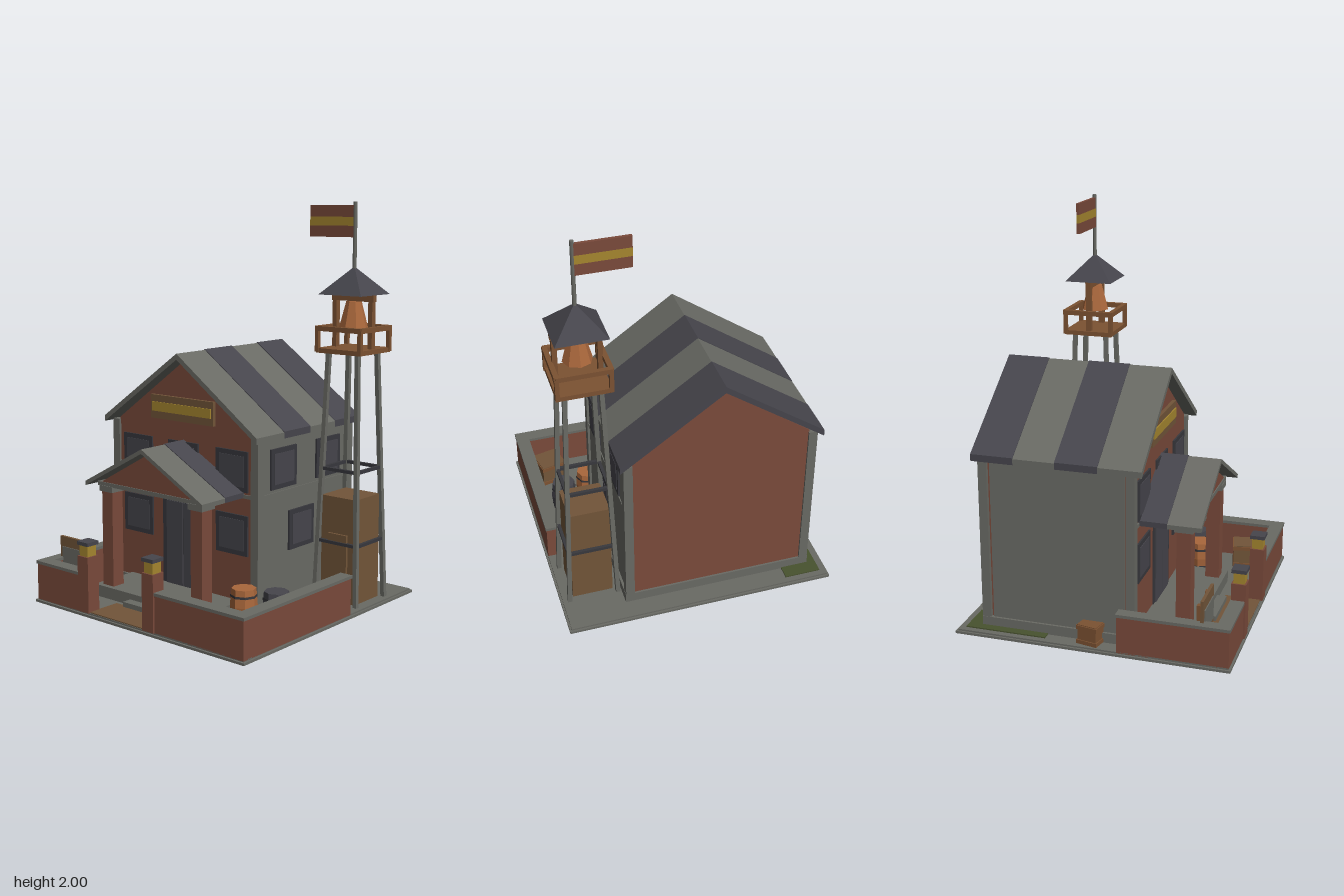
import * as THREE from 'three';

const mat = (name, color) => {
  const m = new THREE.MeshStandardMaterial({ color });
  m.name = name;
  return m;
};

export function createModel() {
  const brick = mat('brick', 0x7a4a3b), stone = mat('stone', 0x696a64), slate = mat('slate', 0x46454c);
  const frame = mat('darkFrame', 0x38383d), brown = mat('brown', 0x725539), wood = mat('wood', 0x7c5232);
  const orange = mat('copper', 0xa9673c), yellow = mat('yellow', 0xa5862f), green = mat('moss', 0x48522f);
  const model = new THREE.Group();
  model.name = 'stationHouse';

  const group = (name, x = 0, y = 0, z = 0, parent = model) => {
    const g = new THREE.Group();
    g.name = name;
    g.position.set(x, y, z);
    parent.add(g);
    return g;
  };
  const add = (name, geo, m, parent = model) => {
    const mesh = new THREE.Mesh(geo, m);
    mesh.name = name;
    parent.add(mesh);
    return mesh;
  };
  // Box given by its limits on each axis
  const box = (name, m, x0, x1, y0, y1, z0, z1, parent = model) => {
    const mesh = add(name, new THREE.BoxGeometry(x1 - x0, y1 - y0, z1 - z0), m, parent);
    mesh.position.set((x0 + x1) / 2, (y0 + y1) / 2, (z0 + z1) / 2);
    return mesh;
  };
  // Front outline pushed from z0 to z1
  const prism = (name, m, pts, z0, z1, parent = model) => {
    const shape = new THREE.Shape(pts.map(p => new THREE.Vector2(p[0], p[1])));
    const geo = new THREE.ExtrudeGeometry(shape, { depth: z1 - z0, bevelEnabled: false });
    geo.translate(0, 0, z0);
    return add(name, geo, m, parent);
  };
  // Square bar between two points
  const bar = (name, m, a, b, w, parent) => {
    const p = new THREE.Vector3(...a), q = new THREE.Vector3(...b);
    const mesh = add(name, new THREE.BoxGeometry(w, w, p.distanceTo(q) + w / 2), m, parent);
    mesh.quaternion.setFromUnitVectors(new THREE.Vector3(0, 0, 1), q.clone().sub(p).normalize());
    mesh.position.copy(p).add(q).multiplyScalar(0.5);
  };
  // Striped gable roof, one chevron for each stripe
  const roof = (name, hw, ridge, eave, t, stops, parent) => {
    for (let i = 0; i + 1 < stops.length; i++) {
      const up = i % 2 ? 0 : 0.004;
      prism(name, i % 2 ? stone : slate, [[-hw, eave - t], [0, ridge - t], [hw, eave - t],
        [hw, eave + up], [0, ridge + up], [-hw, eave + up]], stops[i], stops[i + 1], parent);
    }
  };
  // Framed window facing +z
  const windowAt = (x, y, z, turn, parent) => {
    const g = group('window', x, y, z, parent);
    g.rotation.y = turn;
    box('windowFrame', frame, -0.1, 0.1, -0.1, 0.1, -0.005, 0.012, g);
    box('windowPane', slate, -0.076, 0.076, -0.076, 0.076, 0.01, 0.015, g);
  };

  // Ground
  box('baseEdge', stone, -0.685, 0.685, 0, 0.012, -0.685, 0.685);
  box('ground', stone, -0.675, 0.675, 0.01, 0.02, -0.675, 0.675);
  box('mossPatch', green, -0.645, -0.46, 0.018, 0.026, -0.645, -0.235);
  box('path', brown, -0.3, 0.07, 0.018, 0.025, 0.49, 0.672);

  // House body
  const house = group('house', -0.115);
  prism('brickBody', brick, [[-0.445, 0.02], [0.445, 0.02], [0.445, 0.9], [0, 1.225], [-0.445, 0.9]], -0.565, 0.19, house);
  box('plinth', stone, -0.487, 0.487, 0.02, 0.07, -0.575, 0.2, house);
  for (const s of [-1, 1]) {
    const x0 = Math.min(s * 0.44, s * 0.475), x1 = Math.max(s * 0.44, s * 0.475);
    box('sideWall', stone, x0, x1, 0.02, 0.885, -0.52, 0.15, house);
    box('sideBrick', brick, s * 0.45 - 0.015, s * 0.45 + 0.015, 0.02, 0.885, -0.535, 0.165, house);
    for (const z of [-0.553, 0.18])
      box('cornerPilaster', stone, s * 0.4625 - 0.0225, s * 0.4625 + 0.0225, 0.02, 0.89, z - 0.022, z + 0.022, house);
  }
  box('beltCourse', stone, -0.45, 0.48, 0.596, 0.614, -0.53, 0.197, house);
  roof('mainRoof', 0.507, 1.268, 0.908, 0.03, [-0.6, -0.387, -0.18, 0.03, 0.242], house);

  // Windows
  for (const x of [-0.311, 0.317]) for (const y of [0.41, 0.725]) windowAt(x, y, 0.187, 0, house);
  windowAt(0, 0.725, 0.187, 0, house);
  for (const [z, y] of [[0, 0.73], [-0.365, 0.73], [-0.145, 0.405]]) windowAt(0.473, y, z, Math.PI / 2, house);

  // Door
  box('doorFrame', frame, -0.14, 0.14, 0.075, 0.54, 0.18, 0.196, house);
  for (const s of [-1, 1]) box('doorLeaf', slate, s * 0.057 - 0.054, s * 0.057 + 0.054, 0.08, 0.512, 0.194, 0.201, house);

  // Gable sign board
  box('signBoard', brown, -0.208, 0.208, 0.925, 1.045, 0.185, 0.208, house);
  box('signPlate', yellow, -0.195, 0.195, 0.963, 1.01, 0.206, 0.214, house);

  // Porch
  const porch = group('porch', -0.115);
  box('porchFloor', stone, -0.37, 0.37, 0.02, 0.08, 0.19, 0.46, porch);
  box('step', stone, -0.12, 0.12, 0.02, 0.05, 0.45, 0.51, porch);
  for (const x of [-0.299, 0.299]) {
    box('column', brick, x - 0.036, x + 0.036, 0.08, 0.57, 0.362, 0.434, porch);
    box('columnCap', stone, x - 0.045, x + 0.045, 0.567, 0.597, 0.352, 0.444, porch);
  }
  box('porchBeam', stone, -0.36, 0.36, 0.594, 0.614, 0.36, 0.44, porch);
  prism('pediment', brick, [[-0.33, 0.61], [0.33, 0.61], [0.33, 0.617], [0, 0.8], [-0.33, 0.617]], 0.37, 0.435, porch);
  roof('porchRoof', 0.39, 0.83, 0.62, 0.022, [0.19, 0.33, 0.495], porch);

  // Boundary wall
  const wall = (x0, x1, z0, z1) => {
    box('boundaryWall', brick, x0 + 0.005, x1 - 0.005, 0.015, 0.2, z0 + 0.005, z1 - 0.005);
    box('wallCap', stone, x0, x1, 0.2, 0.215, z0, z1);
  };
  wall(-0.68, -0.33, 0.61, 0.68);
  wall(0.1, 0.68, 0.61, 0.68);
  wall(-0.68, -0.62, 0.13, 0.622);
  wall(0.61, 0.68, -0.145, 0.622);

  // Gate posts with lanterns
  for (const x of [-0.333, 0.102]) {
    box('gatePost', brick, x - 0.036, x + 0.036, 0.02, 0.3, 0.612, 0.684);
    box('lantern', yellow, x - 0.028, x + 0.028, 0.3, 0.357, 0.62, 0.676);
    box('lanternCap', slate, x - 0.037, x + 0.037, 0.355, 0.373, 0.611, 0.685);
  }

  // Notice board
  box('noticeBoard', brown, -0.645, -0.44, 0.13, 0.322, 0.53, 0.545);
  box('noticeSheet', stone, -0.627, -0.458, 0.155, 0.27, 0.543, 0.55);
  for (const x of [-0.615, -0.455]) box('noticePost', wood, x - 0.013, x + 0.013, 0.02, 0.29, 0.508, 0.532);

  // Barrels
  const barrel = (m, x, z) => {
    const g = group('barrel', x, 0.02, z);
    const pts = [[0, 0], [0.058, 0], [0.067, 0.085], [0.06, 0.17], [0, 0.17]].map(p => new THREE.Vector2(...p));
    const geo = new THREE.LatheGeometry(pts, 8).toNonIndexed();
    geo.computeVertexNormals();
    add('barrelBody', geo, m, g);
    for (const y of [0.04, 0.135]) {
      const hoop = add('barrelHoop', new THREE.CylinderGeometry(0.0655, 0.0655, 0.012, 8, 1, true).toNonIndexed(), frame, g);
      hoop.geometry.computeVertexNormals();
      hoop.position.y = y;
    }
  };
  barrel(orange, 0.353, 0.285);
  barrel(slate, 0.503, 0.225);

  // Crates
  const crate = (x, z, size, h, turn, m) => {
    const g = group('crate', x, 0.02, z);
    g.rotation.y = turn;
    const r = size / 2;
    box('crateBody', m, -r, r, 0, h, -r, r, g);
    for (const y of [0.012, h - 0.014]) box('crateBand', wood, -r - 0.005, r + 0.005, y - 0.01, y + 0.01, -r - 0.005, r + 0.005, g);
  };
  crate(0.525, 0.5, 0.132, 0.12, 0.22, brown);
  crate(-0.605, -0.01, 0.1, 0.1, -0.2, wood);

  // Watchtower legs and braces
  const tower = group('watchtower', 0.515, 0, -0.358);
  const corners = [[-1, -1], [1, -1], [1, 1], [-1, 1]];
  const half = y => 0.125 - 0.04 * y / 1.27;
  corners.forEach(([cx, cz], i) => {
    const [nx, nz] = corners[(i + 1) % 4];
    bar('towerLeg', stone, [cx * half(0), 0.012, cz * half(0)], [cx * half(1.27), 1.272, cz * half(1.27)], 0.022, tower);
    for (const y of [0.325, 0.692]) {
      const h = half(y);
      bar('towerBrace', frame, [cx * h, y, cz * h], [nx * h, y, nz * h], 0.016, tower);
    }
    // Railing
    bar('railPost', wood, [cx * 0.125, 1.28, cz * 0.125], [cx * 0.125, 1.385, cz * 0.125], 0.02, tower);
    bar('topRail', wood, [cx * 0.125, 1.39, cz * 0.125], [nx * 0.125, 1.39, nz * 0.125], 0.024, tower);
  });
  box('towerShed', brown, -0.103, 0.103, 0.02, 0.555, -0.103, 0.103, tower);
  box('shedDoor', brown, -0.057, 0.057, 0.02, 0.37, 0.1, 0.116, tower);
  box('platform', wood, -0.13, 0.13, 1.27, 1.293, -0.13, 0.13, tower);

  // Bell frame and bell
  for (const x of [-0.105, 0.105]) box('bellPost', wood, x - 0.012, x + 0.012, 1.29, 1.555, -0.014, 0.014, tower);
  box('bellBeam', wood, -0.122, 0.122, 1.522, 1.555, -0.014, 0.014, tower);
  const bell = add('bell', new THREE.CylinderGeometry(0.038, 0.072, 0.13, 8).toNonIndexed(), orange, tower);
  bell.geometry.computeVertexNormals();
  bell.position.y = 1.457;

  // Tower roof
  const cap = add('towerRoof', new THREE.ConeGeometry(0.125 * Math.SQRT2, 0.135, 4).toNonIndexed(), slate, tower);
  cap.geometry.computeVertexNormals();
  cap.rotation.y = Math.PI / 4;
  cap.position.y = 1.622;

  // Flag
  const pole = add('flagPole', new THREE.CylinderGeometry(0.01, 0.01, 0.34, 8), stone, tower);
  pole.position.y = 1.83;
  [[1.83, 1.885, brick], [1.885, 1.928, yellow], [1.928, 1.985, brick]].forEach(([y0, y1, m]) =>
    box('flagStripe', m, -0.265, -0.005, y0, y1, -0.008, 0.008, tower));

  return model;
}
